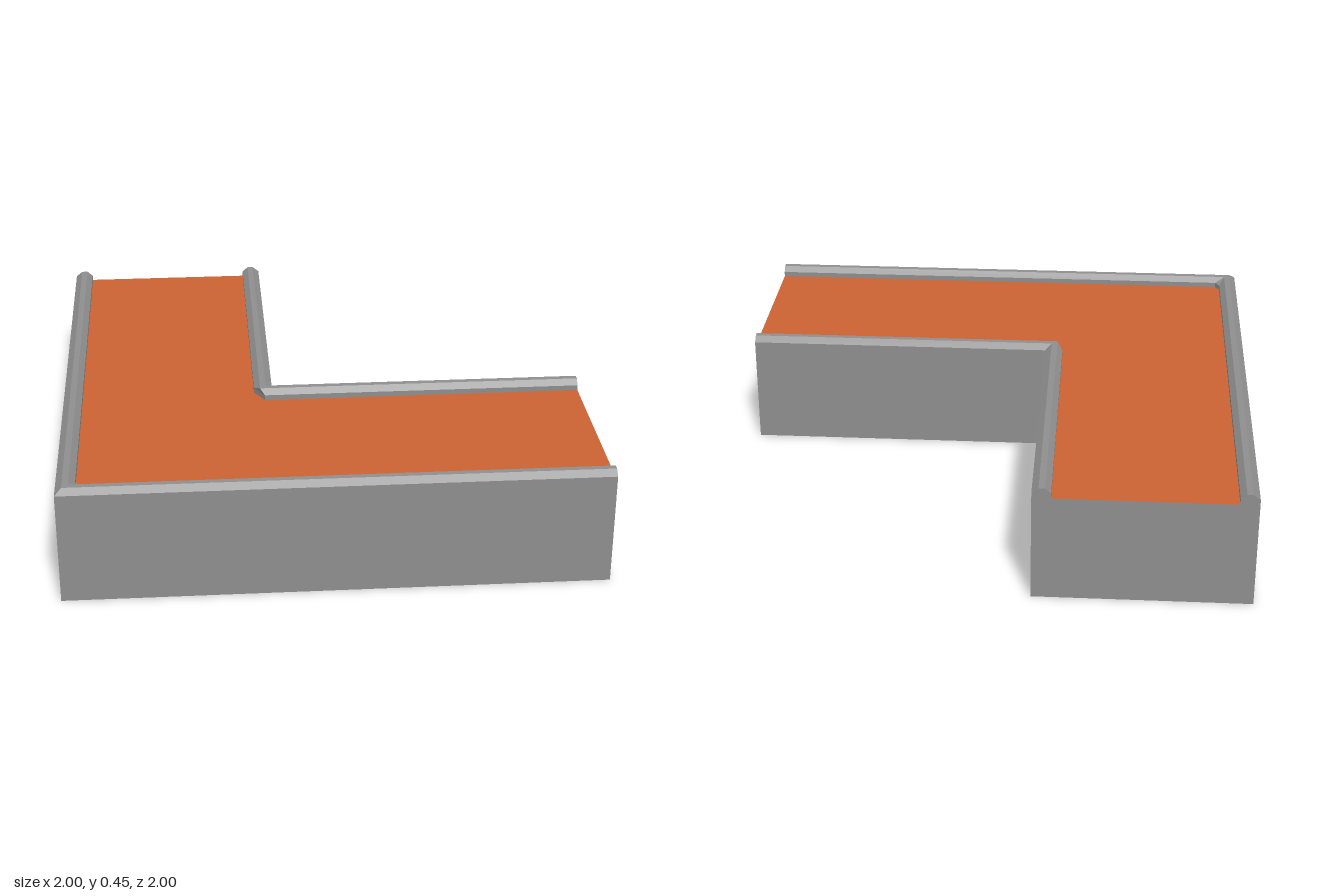
import * as THREE from 'three';

const FLOOR = 0.41, SLAB = 0.005;
const INNER = { x: -0.195, z: 0.184 };

// Kerb profile: distance from the wall face, height, share of the corner chamfer
const PROFILE = [
  [0, FLOOR, 0], [0, 0.43, 0], [0.025, 0.45, 0],
  [0.048, 0.45, 0], [0.07, 0.43, 1], [0.07, FLOOR, 1],
];

// L-shaped prism between two heights
function lPrism(bottom, top) {
  const outline = [[-1, -1], [-1, 1], [1, 1], [1, INNER.z], [INNER.x, INNER.z], [INNER.x, -1]];
  const shape = new THREE.Shape(outline.map(([x, z]) => new THREE.Vector2(x, -z)));
  const geo = new THREE.ExtrudeGeometry(shape, { depth: top - bottom, bevelEnabled: false });
  return geo.rotateX(-Math.PI / 2).translate(0, bottom, 0);
}

// Kerb swept along z, round the corner (cx, cz), then along x; side is 1 outside, -1 inside
function kerb(cx, cz, side, chamferZ, chamferX) {
  const sections = [0, 1, 2, 3].map((j) => PROFILE.map(([d, y, k]) => {
    const x = cx + side * d, z = cz - side * d;
    return [[x, y, -1], [x, y, z - chamferZ * k], [x + chamferX * k, y, z], [1, y, z]][j];
  }));
  const pos = [];
  const tri = (a, b, c) => pos.push(...a, ...(side > 0 ? b : c), ...(side > 0 ? c : b));
  for (let j = 0; j < 3; j++) {
    const s = sections[j], t = sections[j + 1];
    for (let i = 0; i < PROFILE.length - 1; i++) {
      tri(s[i], t[i], s[i + 1]);
      tri(t[i], t[i + 1], s[i + 1]);
    }
  }
  // End caps
  const first = sections[0], last = sections[3];
  for (let i = 1; i < PROFILE.length - 1; i++) {
    tri(first[0], first[i], first[i + 1]);
    tri(last[0], last[i + 1], last[i]);
  }
  const geo = new THREE.BufferGeometry();
  geo.setAttribute('position', new THREE.Float32BufferAttribute(pos, 3));
  geo.computeVertexNormals();
  return geo;
}

export function createModel() {
  const stone = new THREE.MeshStandardMaterial({ color: 0x8e8e8e });
  stone.name = 'grey stone';
  const clay = new THREE.MeshStandardMaterial({ color: 0xcb6234 });
  clay.name = 'orange floor';

  const model = new THREE.Group();
  model.name = 'cornerWalkway';
  const add = (name, geo, mat) => {
    const mesh = new THREE.Mesh(geo, mat);
    mesh.name = name;
    model.add(mesh);
  };

  add('base', lPrism(0, FLOOR - SLAB), stone);
  add('floor', lPrism(FLOOR - SLAB, FLOOR), [clay, stone]); // orange top, grey edges
  add('outerKerb', kerb(-1, 1, 1, 0.03, 0.017), stone);
  add('innerKerb', kerb(INNER.x, INNER.z, -1, 0.07, 0.04), stone);
  return model;
}
